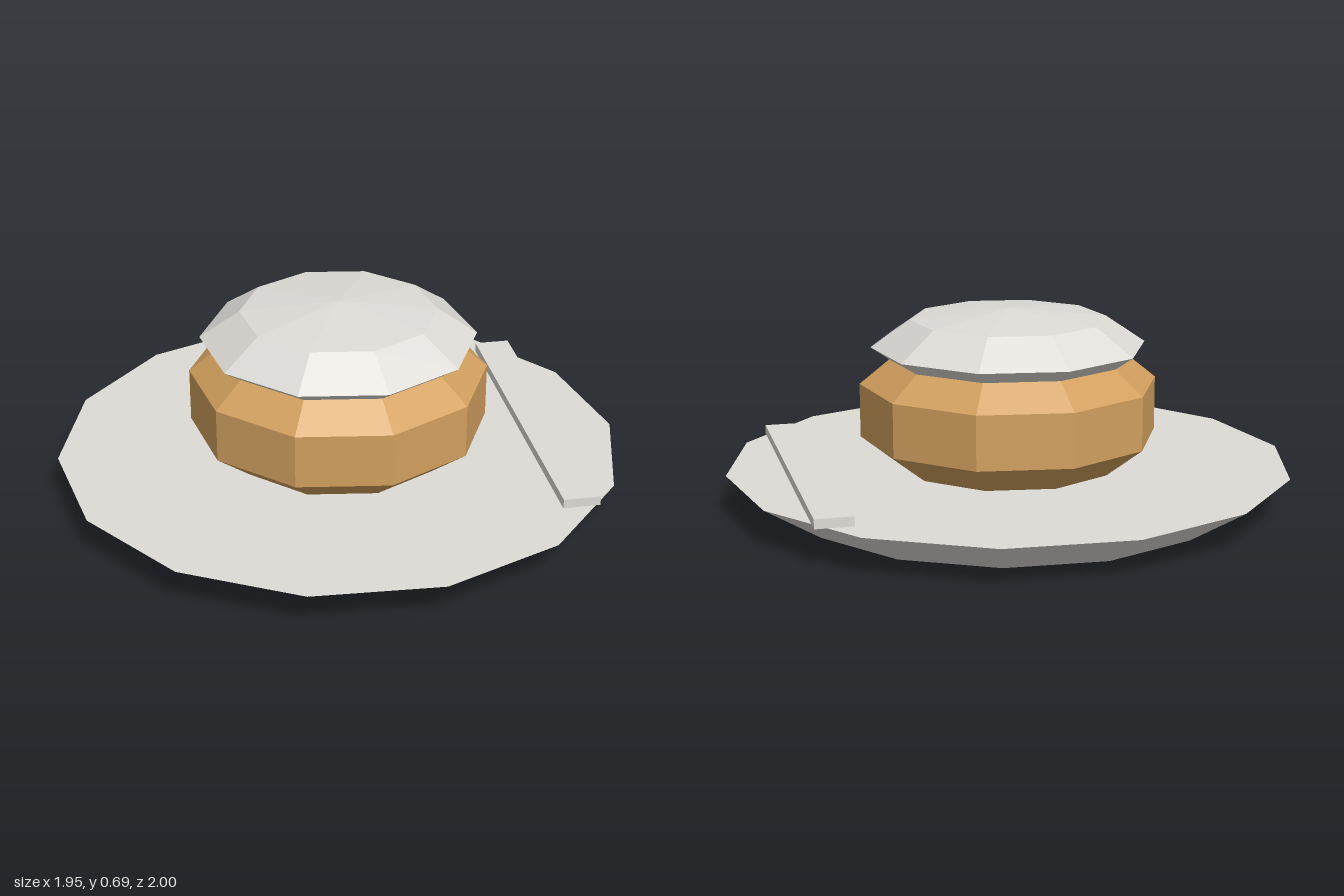
import * as THREE from 'three';

const grey = new THREE.MeshStandardMaterial({ color: 0xdddbd6, flatShading: true });
grey.name = 'paleGrey';
const golden = new THREE.MeshStandardMaterial({ color: 0xd2a05e, flatShading: true });
golden.name = 'goldenBrown';

// Faceted turned part from [radius, height] pairs, listed bottom to top
function turned(name, profile, sides, material) {
  const points = profile.map(([r, y]) => new THREE.Vector2(r, y));
  const mesh = new THREE.Mesh(new THREE.LatheGeometry(points, sides), material);
  mesh.name = name;
  return mesh;
}

export function createModel() {
  const group = new THREE.Group();
  group.name = 'cakeOnPlate';

  // Wide plate with sloping rim
  group.add(turned('plate', [[0, 0], [0.785, 0], [1, 0.135], [0, 0.135]], 14, grey));

  // Bevelled cake body
  group.add(turned('cake',
    [[0.39, 0.135], [0.525, 0.24], [0.525, 0.43], [0.42, 0.515]], 10, golden));

  // Domed topping
  group.add(turned('icing',
    [[0.42, 0.515], [0.485, 0.56], [0.345, 0.655], [0, 0.69]], 10, grey));

  // Flat knife lying across the plate's left side
  const knife = new THREE.Mesh(new THREE.BoxGeometry(0.13, 0.033, 1.22), grey);
  knife.name = 'knife';
  knife.position.set(0.72, 0.1515, 0.109);
  knife.rotation.y = -0.173;
  group.add(knife);

  return group;
}
